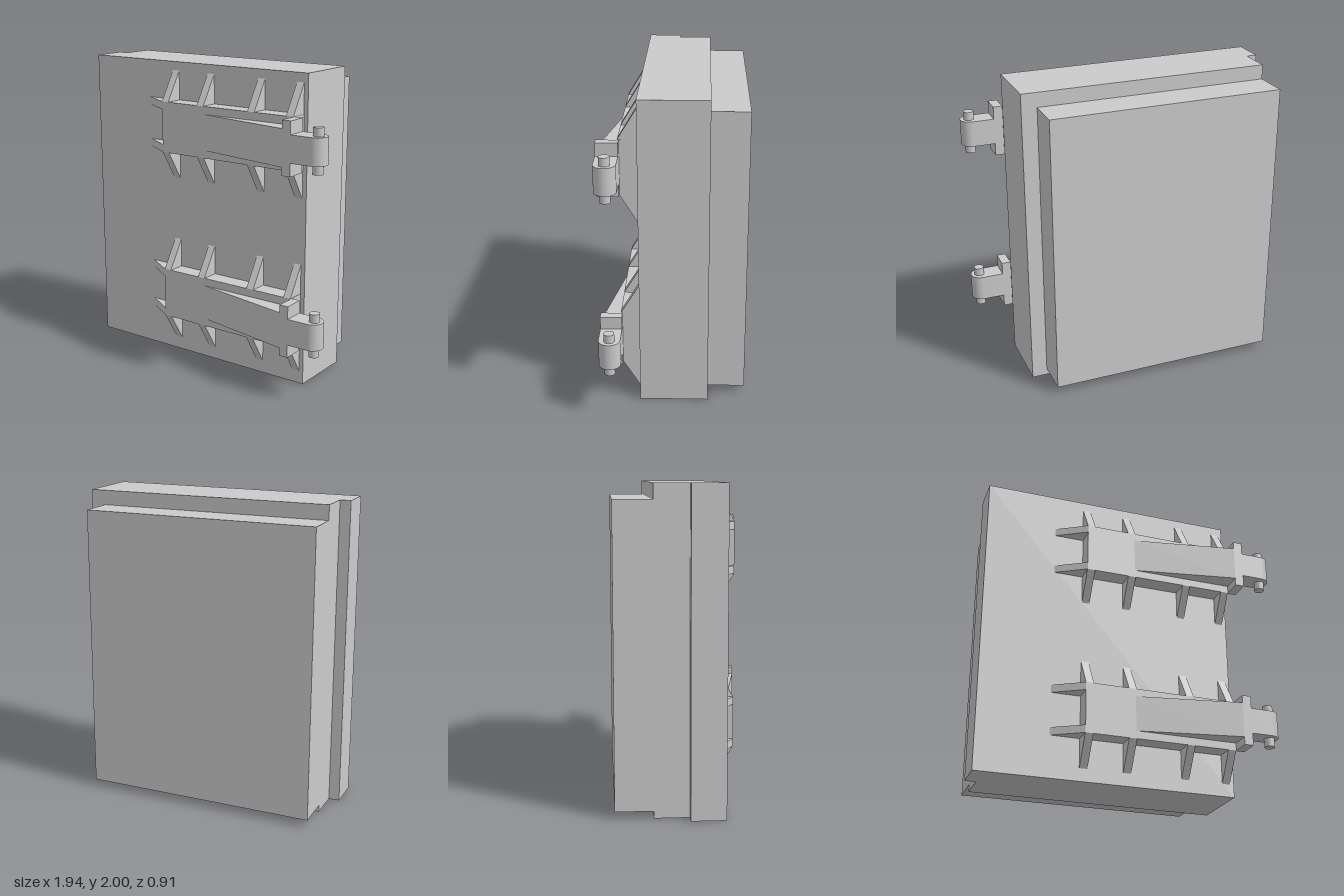
import * as THREE from 'three';
import { toCreasedNormals } from 'three/addons/utils/BufferGeometryUtils.js';

const material = new THREE.MeshStandardMaterial({ color: 0xcccccc });

function addMesh(parent, name, geometry) {
  const mesh = new THREE.Mesh(geometry, material);
  mesh.name = name;
  parent.add(mesh);
  return mesh;
}

function addBox(parent, name, [x0, x1], [y0, y1], [z0, z1]) {
  const mesh = addMesh(parent, name, new THREE.BoxGeometry(x1 - x0, y1 - y0, z1 - z0));
  mesh.position.set((x0 + x1) / 2, (y0 + y1) / 2, (z0 + z1) / 2);
}

function extrude(shape, depth) {
  return new THREE.ExtrudeGeometry(shape, { depth, bevelEnabled: false, curveSegments: 20 });
}

function polygon(points) {
  return new THREE.Shape(points.map(([a, b]) => new THREE.Vector2(a, b)));
}

// Plan outline (shape y = -z) raised from y0 to y1
function raisePlan(shape, y0, y1) {
  const g = extrude(shape, y1 - y0).rotateX(-Math.PI / 2).translate(0, y0, 0);
  return toCreasedNormals(g, 0.6);
}
const plan = (points) => polygon(points.map(([x, z]) => [x, -z]));

// One hinge, with its strap centred on y = 0
function createHinge() {
  const hinge = new THREE.Group();
  hinge.name = 'hinge';
  const half = 0.167, inner = 0.116;
  const face = 0.21, front = 0.33;

  addBox(hinge, 'strapPlate', [-0.31, 0.7], [-half, half], [face, front]);

  // Tapered prongs at the free end of the strap
  const prong = plan([[-0.51, face], [-0.31, face], [-0.31, front]]);
  addMesh(hinge, 'upperProng', raisePlan(prong, inner, half));
  addMesh(hinge, 'lowerProng', raisePlan(prong, -half, -inner));

  // Sloping arm rising toward the knuckle
  const arm = plan([[0.02, front], [0.02, 0.32], [0.7, 0.32], [0.7, 0.455]]);
  addMesh(hinge, 'slopingArm', raisePlan(arm, -inner, inner));
  addBox(hinge, 'armBlock', [0.7, 0.76], [-half, half], [0.32, 0.455]);

  // Rounded knuckle and pin
  const pinX = 0.9, pinZ = 0.3875, r = 0.0675;
  const knuckle = new THREE.Shape();
  knuckle.moveTo(0.76, -pinZ - r);
  knuckle.lineTo(pinX, -pinZ - r);
  knuckle.absarc(pinX, -pinZ, r, -Math.PI / 2, Math.PI / 2, false);
  knuckle.lineTo(0.76, -pinZ + r);
  addMesh(hinge, 'knuckle', raisePlan(knuckle, -0.085, 0.085));
  const pin = addMesh(hinge, 'hingePin', new THREE.CylinderGeometry(0.033, 0.033, 0.28, 32));
  pin.position.set(0.91, -0.002, pinZ);

  // Triangular gussets above and below the strap
  for (const x of [-0.285, 0, 0.39, 0.672]) {
    for (const side of [1, -1]) {
      const profile = polygon([[-face, side * half], [-face, side * 0.363], [-front, side * half]]);
      const geometry = extrude(profile, 0.052).rotateY(Math.PI / 2).translate(x - 0.026, 0, 0);
      addMesh(hinge, 'gusset', geometry);
    }
  }
  return hinge;
}

export function createModel() {
  const model = new THREE.Group();
  model.name = 'hingedDoor';

  // Door slab with a rebate along its free edge
  const slab = plan([[-0.97, 0.213], [0.727, 0.213], [0.727, -0.22], [-0.9, -0.22], [-0.9, -0.005], [-0.97, -0.005]]);
  addMesh(model, 'doorSlab', raisePlan(slab, 0, 2));
  addBox(model, 'innerPanel', [-0.9, 0.627], [0.045, 1.905], [-0.457, -0.22]);

  for (const y of [0.442, 1.584]) {
    const hinge = createHinge();
    hinge.position.y = y;
    model.add(hinge);
  }
  return model;
}
